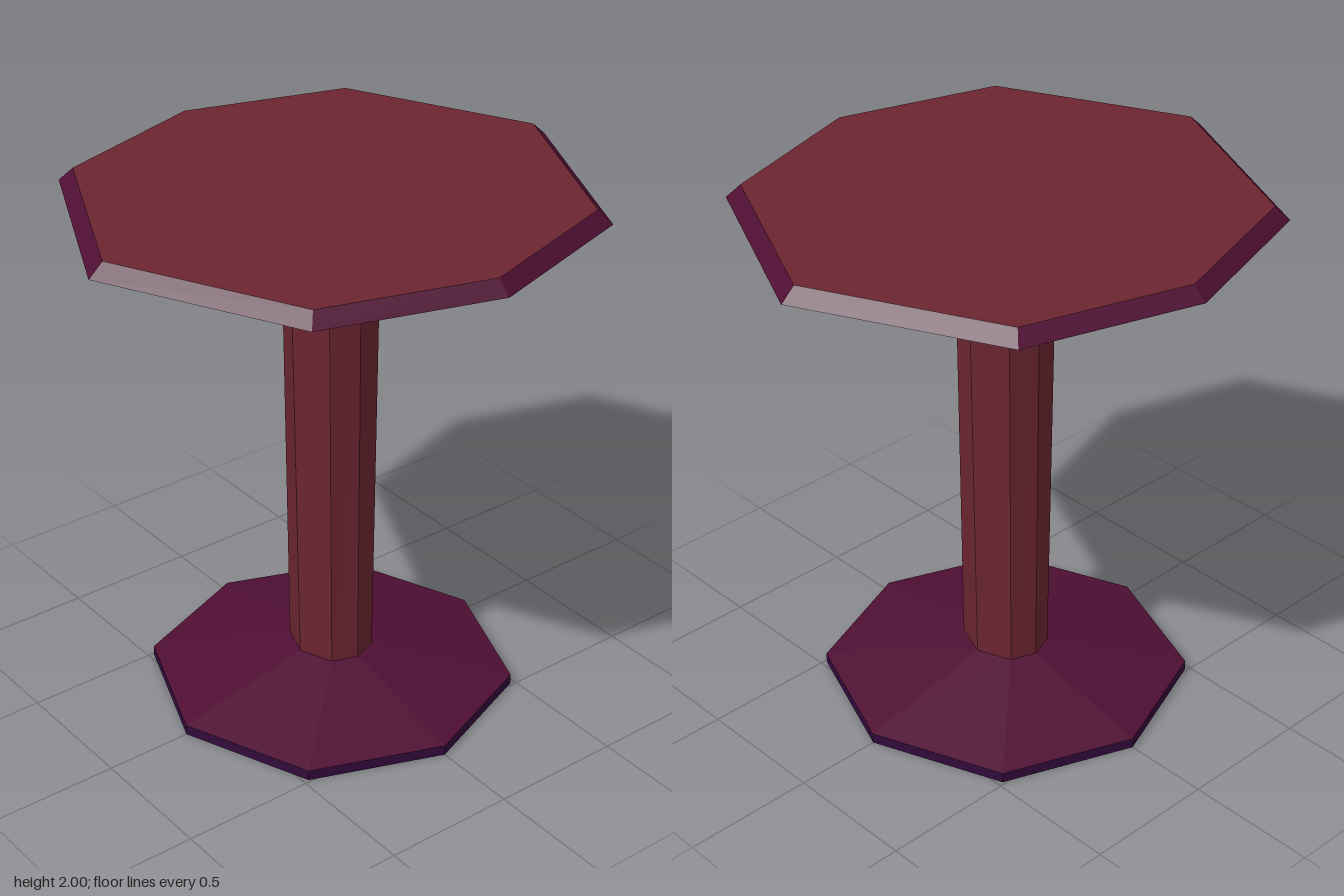
import * as THREE from 'three';

const flat = (name, color) => {
  const m = new THREE.MeshStandardMaterial({ color, side: THREE.DoubleSide });
  m.name = name;
  return m;
};

// Eight-sided ring: half width, half depth, then the corner's x and z.
const ring = (y, hx, hz, cx, cz) => [
  [0, hz], [cx, cz], [hx, 0], [cx, -cz], [0, -hz], [-cx, -cz], [-hx, 0], [-cx, cz],
].map(([x, z]) => new THREE.Vector3(x, y, z));

// Faceted skin between two rings, lower ring first.
function band(lower, upper) {
  const p = [];
  for (let i = 0; i < 8; i++) {
    const j = (i + 1) % 8;
    for (const v of [lower[i], lower[j], upper[j], lower[i], upper[j], upper[i]]) p.push(v.x, v.y, v.z);
  }
  return toGeometry(p);
}

// Flat lid facing up.
function lid(r) {
  const p = [];
  for (let i = 0; i < 8; i++) {
    for (const v of [new THREE.Vector3(0, r[0].y, 0), r[i], r[(i + 1) % 8]]) p.push(v.x, v.y, v.z);
  }
  return toGeometry(p);
}

function toGeometry(points) {
  const g = new THREE.BufferGeometry();
  g.setAttribute('position', new THREE.Float32BufferAttribute(points, 3));
  g.computeVertexNormals();
  return g;
}

export function createModel() {
  const group = new THREE.Group();
  group.name = 'pedestalTable';
  const red = flat('red wood', 0x6b2530);
  const maroon = flat('maroon', 0x4f0f33);
  const purple = flat('dark purple', 0x310b3b);

  const floor = ring(0, 0.675, 0.67, 0.49, 0.48);
  const rimTop = ring(0.04, 0.675, 0.67, 0.49, 0.48);
  const columnFoot = ring(0.15, 0.165, 0.145, 0.13, 0.095);
  const columnHead = ring(1.64, 0.17, 0.17, 0.135, 0.11);
  const neckTop = ring(1.82, 0.385, 0.385, 0.29, 0.26);
  const edge = ring(1.95, 0.92, 0.98, 0.725, 0.635);
  const top = ring(2, 0.87, 0.925, 0.685, 0.6);

  const parts = [
    // Hollow foot
    ['footRim', band(floor, rimTop), purple],
    ['footSlope', band(rimTop, columnFoot), maroon],
    // Column, open at the bottom
    ['column', band(columnFoot, columnHead), red],
    // Flared neck and table top
    ['neck', band(columnHead, neckTop), maroon],
    ['topUnderside', band(neckTop, edge), purple],
    ['topBevel', band(edge, top), maroon],
    ['tableTop', lid(top), red],
  ];
  for (const [name, geometry, material] of parts) {
    const mesh = new THREE.Mesh(geometry, material);
    mesh.name = name;
    group.add(mesh);
  }
  return group;
}
